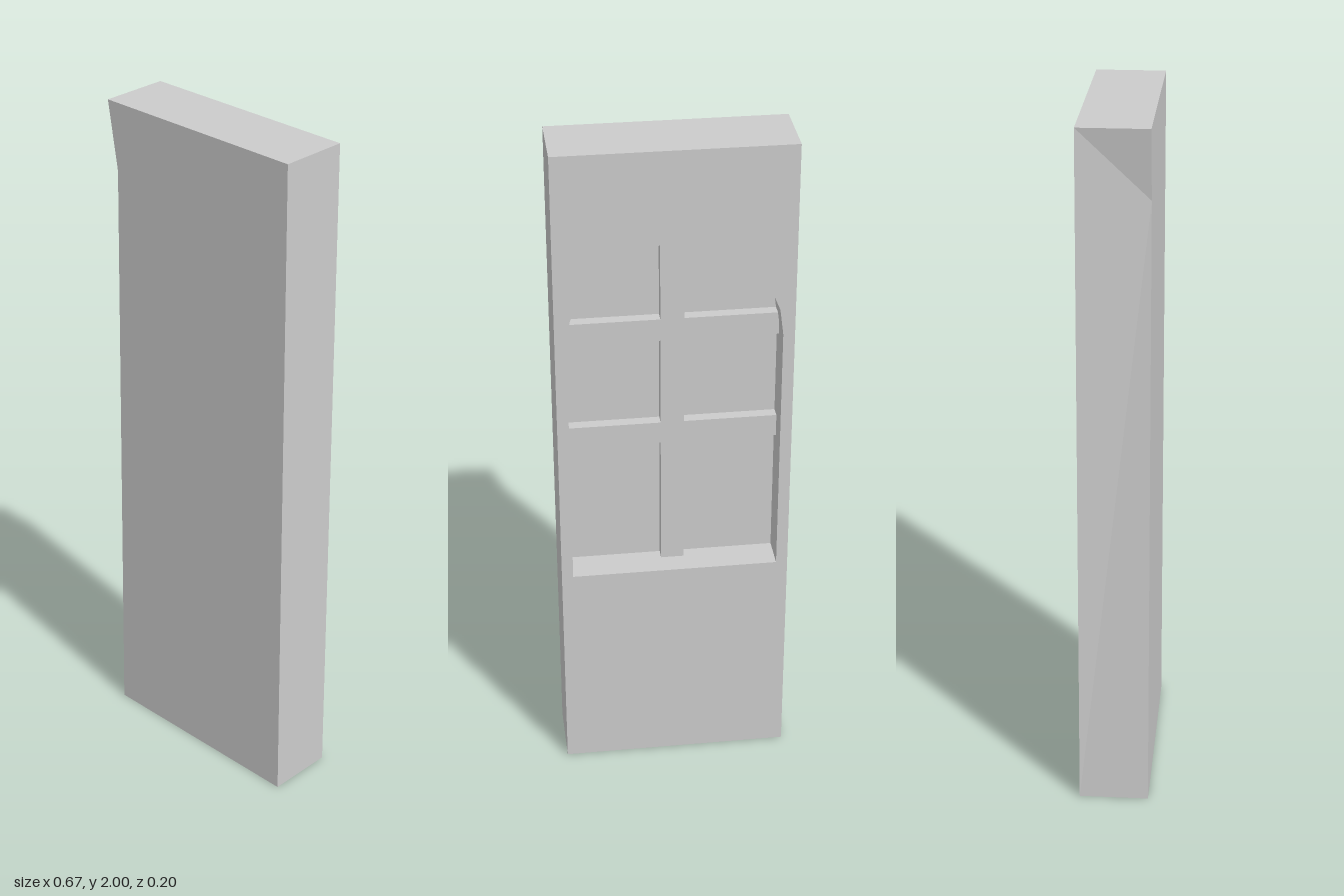
import * as THREE from 'three';

const W = 0.333, H = 2, D = 0.1;            // half width, height, half depth
const R = 0.3, SILL = 0.667, SPRING = 1.433; // window half width, sill and arch spring heights
const BAR = 0.067, BAR_DEPTH = 0.033;

const material = new THREE.MeshStandardMaterial({ color: 0xcccccc, flatShading: true });

function mesh(name, geometry) {
  const m = new THREE.Mesh(geometry, material);
  m.name = name;
  return m;
}

// Flat convex faces, each a list of [x, y, z] corners, counterclockwise from outside
function faces(polygons) {
  const positions = [];
  for (const p of polygons)
    for (let i = 1; i < p.length - 1; i++) positions.push(...p[0], ...p[i], ...p[i + 1]);
  const g = new THREE.BufferGeometry();
  g.setAttribute('position', new THREE.Float32BufferAttribute(positions, 3));
  g.computeVertexNormals();
  return g;
}

function outline(points) {
  return new THREE.Shape(points.map(([x, y]) => new THREE.Vector2(x, y)));
}

export function createModel() {
  const group = new THREE.Group();
  group.name = 'windowPanel';

  // Arched opening, counterclockwise from the lower corner
  const arch = [[-R, SILL], [R, SILL]];
  for (let i = 0; i <= 12; i++) {
    const a = (i / 12) * Math.PI;
    arch.push([R * Math.cos(a), SPRING + R * Math.sin(a)]);
  }

  // Front face with its one edge pulled inwards near the top
  const dent = [-0.3, 1.8];
  const front = new THREE.ShapeGeometry(outline([[-W, 0], [W, 0], [W, H], [-W, H], dent]));
  group.add(mesh('frontFace', front.translate(0, 0, D)));

  // Back face, cut by the arched opening
  const backShape = outline([[-W, 0], [W, 0], [W, H], [-W, H]]);
  backShape.holes.push(outline(arch));
  group.add(mesh('backFace', new THREE.ShapeGeometry(backShape).rotateY(Math.PI).translate(0, 0, -D)));

  // Outer sides; the dented one folds into three triangles
  const p = [...dent, D], backLow = [-W, 0, -D], backTop = [-W, H, -D];
  group.add(mesh('outerSides', faces([
    [[W, 0, D], [W, 0, -D], [W, H, -D], [W, H, D]],
    [[-W, H, D], [W, H, D], [W, H, -D], backTop],
    [backLow, [W, 0, -D], [W, 0, D], [-W, 0, D]],
    [backLow, p, backTop],
    [backLow, [-W, 0, D], p],
    [backTop, p, [-W, H, D]],
  ])));

  // Window recess: pane and the walls around it
  group.add(mesh('windowPane', new THREE.ShapeGeometry(outline(arch)).rotateY(Math.PI)));
  group.add(mesh('windowReveal', faces(arch.map((a, i) => {
    const b = arch[(i + 1) % arch.length];
    return [[...a, -D], [...a, 0], [...b, 0], [...b, -D]];
  }))));

  // Glazing bars
  const top = SPRING + R;
  const upright = new THREE.BoxGeometry(BAR, top - SILL, BAR_DEPTH);
  group.add(mesh('verticalBar', upright.translate(0, (top + SILL) / 2, -BAR_DEPTH / 2)));
  for (const y of [1.1, SPRING]) {
    const bar = new THREE.BoxGeometry(2 * R, BAR, BAR_DEPTH);
    group.add(mesh('horizontalBar', bar.translate(0, y, -BAR_DEPTH / 2)));
  }
  return group;
}
